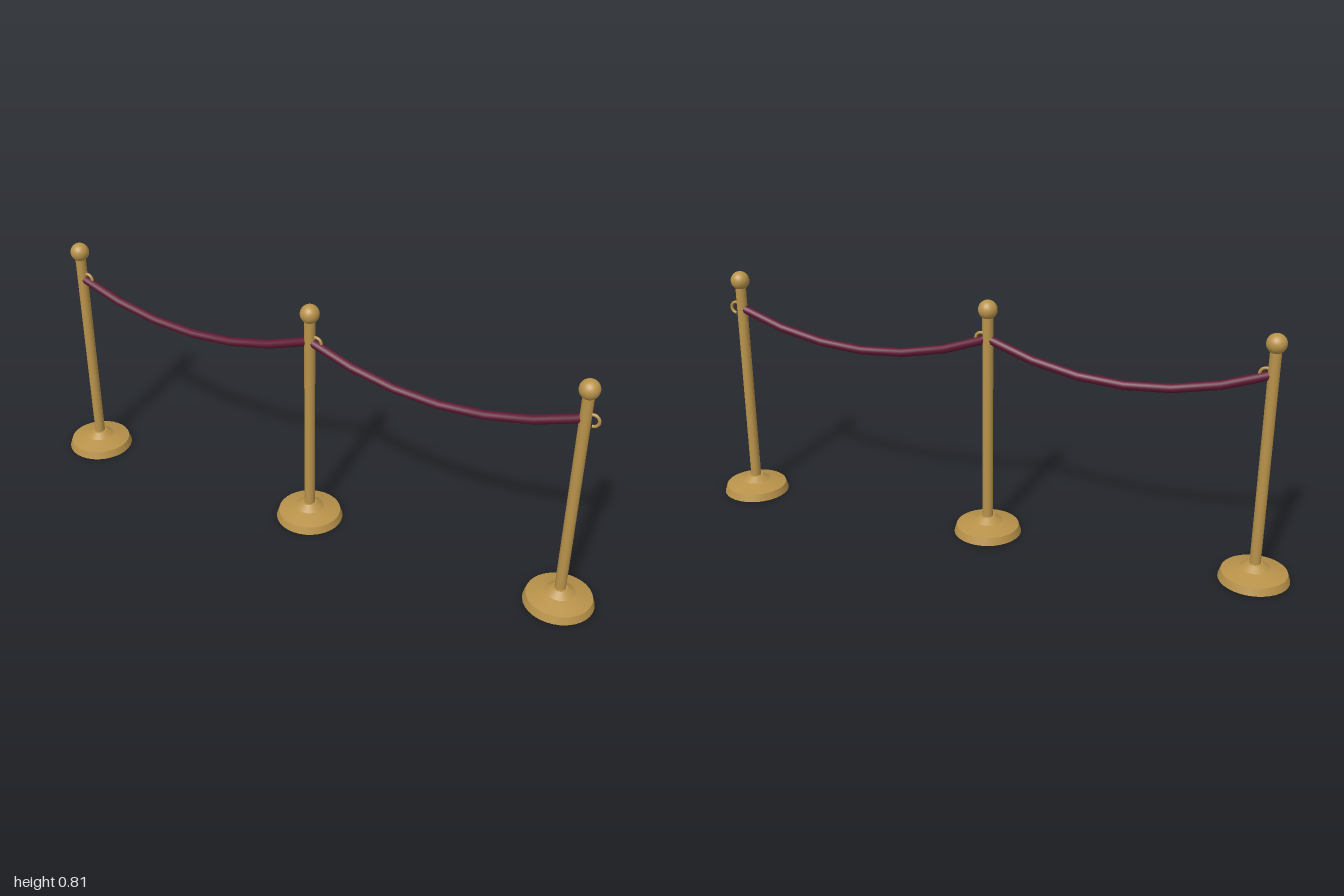
import * as THREE from 'three';

const SPACING = 0.888;
const ROPE_Y = 0.68;
const SAG = 0.095;

export function createModel() {
  const model = new THREE.Group();
  model.name = 'ropeBarrier';
  const brass = new THREE.MeshStandardMaterial({ name: 'brass', color: 0xb8924a });
  const velvet = new THREE.MeshStandardMaterial({ name: 'burgundy velvet', color: 0x5e1832 });

  const add = (parent, name, geometry, material, x = 0, y = 0) => {
    const mesh = new THREE.Mesh(geometry, material);
    mesh.name = name;
    mesh.position.set(x, y, 0);
    parent.add(mesh);
    return mesh;
  };

  // Stepped foot: radius and height of each ring, with a crisp edge between the bands
  const footRings = [[0.112, 0], [0.104, 0.025], [0.048, 0.041], [0.024, 0.057]];

  const makePost = (x, index) => {
    const post = new THREE.Group();
    post.name = `post${index + 1}`;
    post.position.x = x;

    const foot = new THREE.Group();
    foot.name = 'foot';
    post.add(foot);
    for (let i = 0; i < footRings.length - 1; i++) {
      const [r0, y0] = footRings[i];
      const [r1, y1] = footRings[i + 1];
      const band = new THREE.CylinderGeometry(r1, r0, y1 - y0, 32, 1, true);
      add(foot, `footBand${i + 1}`, band, brass, 0, (y0 + y1) / 2);
    }
    add(foot, 'footUnderside', new THREE.CircleGeometry(0.112, 32).rotateX(Math.PI / 2), brass);
    add(foot, 'footTop', new THREE.CircleGeometry(0.024, 32).rotateX(-Math.PI / 2), brass, 0, 0.057);

    add(post, 'pole', new THREE.CylinderGeometry(0.0175, 0.0175, 0.7, 24), brass, 0, 0.402);
    add(post, 'finial', new THREE.SphereGeometry(0.031, 24, 16), brass, 0, 0.776);

    // Open hook, with its gap at the lower inner side
    const hook = new THREE.TorusGeometry(0.019, 0.005, 8, 20, Math.PI * 1.5);
    add(post, 'hook', hook.rotateZ(-Math.PI / 2), brass, 0.022, 0.679);
    model.add(post);
  };
  [-SPACING, 0, SPACING].forEach(makePost);

  // Sagging rope between neighbouring posts, in six straight lengths
  const makeRope = (x0, name) => {
    const path = new THREE.CurvePath();
    const points = [];
    for (let i = 0; i <= 6; i++) {
      const t = i / 6;
      points.push(new THREE.Vector3(x0 + SPACING * t, ROPE_Y - SAG * 4 * t * (1 - t), 0));
    }
    for (let i = 0; i < 6; i++) path.add(new THREE.LineCurve3(points[i], points[i + 1]));
    // Sample exactly at the bends
    path.getPointAt = (u) => points[Math.round(u * 6)].clone();
    path.getTangentAt = (u) => {
      const i = Math.round(u * 6);
      return points[Math.min(i + 1, 6)].clone().sub(points[Math.max(i - 1, 0)]).normalize();
    };
    add(model, name, new THREE.TubeGeometry(path, 6, 0.0145, 10, false), velvet);
    // Caps close the rope ends
    [[0, -1], [6, 1]].forEach(([i, side]) => {
      const cap = new THREE.CircleGeometry(0.0145, 10).rotateY(side * Math.PI / 2);
      add(model, `${name}End`, cap, velvet, points[i].x, points[i].y);
    });
  };
  makeRope(-SPACING, 'rightRope');
  makeRope(0, 'leftRope');

  return model;
}
